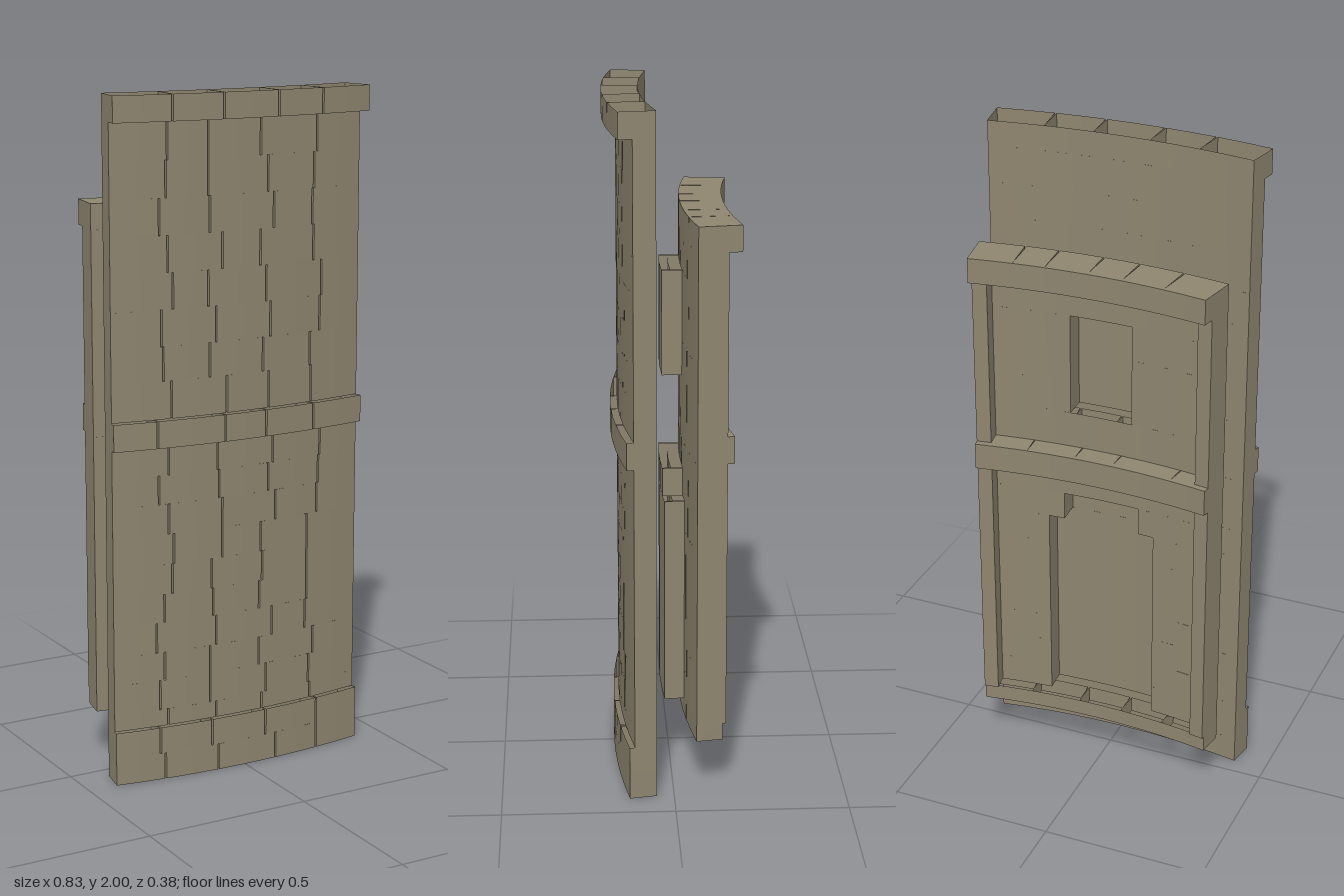
import * as THREE from 'three';

const DEG = Math.PI / 180;
const END = 10 * DEG;      // half angle of the wall sector
const ZC = -2.21;          // z of the centre of curvature
const FACE = 2.36;         // outer wall face radius
const GAP = 0.0012;        // joint opening, in radians

// Courses from the ground up: bottom height, then x of the vertical joints
const COURSES = [
  [0, -0.26, -0.09, 0.105, 0.255],
  [0.08, -0.275, -0.11, 0.07, 0.255],
  [0.16, -0.245, -0.09, 0.065, 0.24],
  [0.21, -0.27, -0.11, 0.08, 0.235],
  [0.3, -0.255, -0.11, 0.055, 0.25],
  [0.385, -0.28, -0.09, 0.1, 0.22],
  [0.475, -0.255, -0.1, 0.055, 0.225],
  [0.56, -0.23, -0.105, 0.065, 0.225],
  [0.65, -0.225, -0.07, 0.06, 0.225],
  [0.74, -0.24, -0.07, 0.11, 0.26],
  [0.83, -0.27, -0.08, 0.085, 0.265],
  [0.915, -0.24, -0.085, 0.1, 0.27],
  [1.0, -0.28, -0.07, 0.065, 0.23],
  [1.08, -0.23, -0.055, 0.085, 0.235],
  [1.19, -0.255, -0.11, 0.065, 0.23],
  [1.29, -0.26, -0.09, 0.09, 0.265],
  [1.395, -0.225, -0.115, 0.075, 0.27],
  [1.5, -0.24, -0.07, 0.055, 0.24],
  [1.605, -0.265, -0.11, 0.1, 0.235],
  [1.71, -0.245, -0.115, 0.08, 0.24],
  [1.815, -0.24, -0.115, 0.055, 0.25],
  [1.925, -0.24, -0.085, 0.09, 0.24],
];

// A curved block; g0 and g1 narrow its front so that joints open as a V
function addBlock(out, r0, r1, a0, a1, y0, y1, { g0 = 0, g1 = 0, cap = false } = {}) {
  const P = (r, a, y) => [r * Math.sin(a), y, ZC + r * Math.cos(a)];
  const quad = (a, b, c, d) => out.push(...a, ...b, ...c, ...a, ...c, ...d);
  const n = Math.max(1, Math.ceil((a1 - a0) / (2.6 * DEG)));
  const back = (i) => a0 + ((a1 - a0) * i) / n;
  const front = (i) => a0 + g0 + ((a1 - g1 - a0 - g0) * i) / n;
  for (let i = 0; i < n; i++) {
    const f0 = front(i), f1 = front(i + 1), b0 = back(i), b1 = back(i + 1);
    quad(P(r1, f0, y0), P(r1, f1, y0), P(r1, f1, y1), P(r1, f0, y1));
    quad(P(r0, b1, y0), P(r0, b0, y0), P(r0, b0, y1), P(r0, b1, y1));
    if (cap) quad(P(r1, f0, y1), P(r1, f1, y1), P(r0, b1, y1), P(r0, b0, y1));
  }
  const f0 = front(0), f1 = front(n);
  quad(P(r1, f1, y0), P(r0, a1, y0), P(r0, a1, y1), P(r1, f1, y1));
  quad(P(r0, a0, y0), P(r1, f0, y0), P(r1, f0, y1), P(r0, a0, y1));
}

// One course of bricks from angle a to b, split at the joints
function addCourse(out, r0, r1, a, b, y0, y1, joints, cap = false) {
  const cuts = [a, ...joints.filter((j) => j > a + 0.004 && j < b - 0.004), b];
  for (let i = 0; i + 1 < cuts.length; i++) {
    addBlock(out, r0, r1, cuts[i], cuts[i + 1], y0, y1, {
      g0: i > 0 ? GAP : 0,
      g1: i + 2 < cuts.length ? GAP : 0,
      cap,
    });
  }
}

export function createModel() {
  const model = new THREE.Group();
  model.name = 'curvedTowerWall';
  const stone = new THREE.MeshStandardMaterial({ color: 0x8f8670, flatShading: true, side: THREE.DoubleSide });
  stone.name = 'stone';

  const parts = {};
  const part = (name) => (parts[name] ??= []);

  COURSES.forEach(([y0, ...xs], i) => {
    const y1 = i + 1 < COURSES.length ? COURSES[i + 1][0] : 2;
    const joints = xs.map((x) => Math.asin(x / FACE));

    // Outer wall with base, middle and top bands
    let name = 'outerWall', face = FACE;
    if (y0 < 0.16) [name, face] = ['outerBase', 2.375];
    else if (y0 === 1.0) [name, face] = ['outerMiddleBand', 2.38];
    else if (y0 === 1.925) [name, face] = ['outerTopBand', 2.4];
    addCourse(part(name), 2.295, face, -END, END, y0, y1, joints);

    // Inner wall
    if (y0 < 0.16 || y0 > 1.55) return;
    const R = 2.177;
    if (y0 === 0.16) {
      addCourse(part('innerBase'), 2.1, R, -END, END, y0, y1, joints);
    } else if (y0 === 1.0) {
      addCourse(part('innerMiddleBand'), 2.07, R, -END, END, y0, y1, joints, true);
    } else {
      // End piers frame a recessed panel
      const pier = 8.8 * DEG;
      addBlock(part('innerPiers'), 2.09, R, pier, END, y0, y1);
      addBlock(part('innerPiers'), 2.09, R, -END, -pier, y0, y1);

      // Half width of the door or window niche in this course
      let half = 0;
      if (y0 >= 0.21 && y0 < 0.83) half = 0.17;
      else if (y0 === 0.83) half = 0.12;
      else if (y0 >= 1.19 && y0 < 1.5) half = 0.097;
      const w = half / R;
      if (!half) {
        addCourse(part('innerPanel'), 2.14, R, -pier, pier, y0, y1, joints);
      } else {
        addCourse(part('innerPanel'), 2.14, R, -pier, -w, y0, y1, joints);
        addCourse(part('innerPanel'), 2.14, R, w, pier, y0, y1, joints);
        const niche = part(y0 < 1 ? 'doorNiche' : 'windowNiche');
        addBlock(niche, 2.21, 2.235, -w, w, y0, y1);
        addBlock(niche, R, 2.235, w, w + 0.003, y0, y1);
        addBlock(niche, R, 2.235, -w - 0.003, -w, y0, y1);
      }
    }
  });

  // Coping on the inner wall
  const coping = [-0.24, -0.105, 0.005, 0.14, 0.24].map((x) => Math.asin(x / 2.177));
  addCourse(part('innerTopBand'), 2.052, 2.177, -END, END, 1.605, 1.68, coping, true);

  for (const [name, positions] of Object.entries(parts)) {
    const geometry = new THREE.BufferGeometry();
    geometry.setAttribute('position', new THREE.Float32BufferAttribute(positions, 3));
    geometry.computeVertexNormals();
    const mesh = new THREE.Mesh(geometry, stone);
    mesh.name = name;
    model.add(mesh);
  }
  return model;
}
